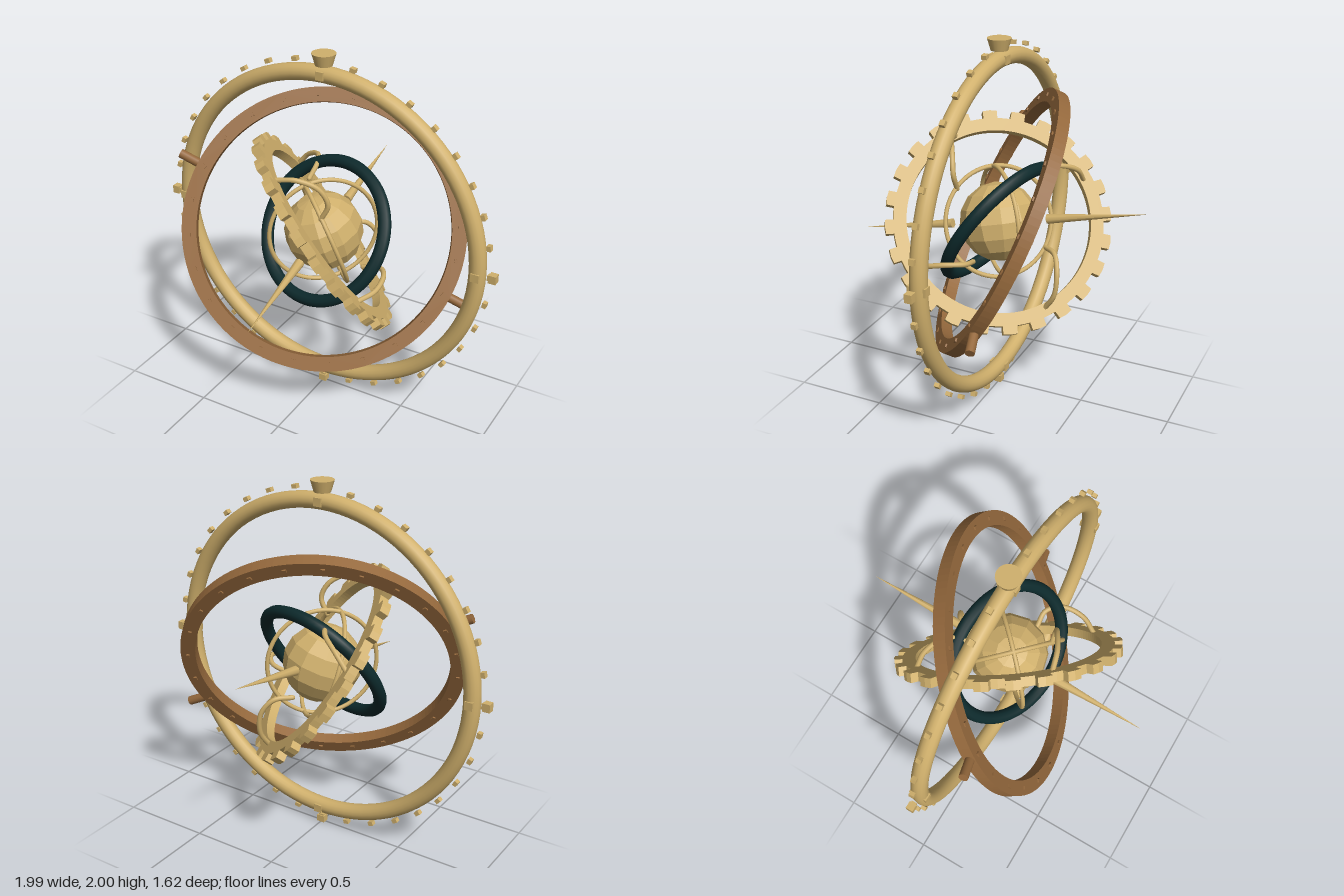
import * as THREE from 'three';

const V = (x, y, z) => new THREE.Vector3(x, y, z);
const material = (name, color, flatShading = false) => {
  const m = new THREE.MeshStandardMaterial({ color, flatShading });
  m.name = name;
  return m;
};

export function createModel() {
  const gold = material('gold', 0xd0b06c);
  const goldFlat = gold;
  const bronze = material('bronze', 0x94683c);
  const teal = material('darkTeal', 0x0d2a2c);

  const model = new THREE.Group();
  model.name = 'armillarySphere';
  const core = new THREE.Group();
  core.name = 'rings';
  core.position.y = 1;
  model.add(core);

  const add = (parent, name, geometry, mat) => {
    const mesh = new THREE.Mesh(geometry, mat);
    mesh.name = name;
    parent.add(mesh);
    return mesh;
  };
  // Group whose local z is the ring axis and local x lies near xDir
  const tilted = (name, normal, xDir = V(1, 0, 0)) => {
    const g = new THREE.Group();
    g.name = name;
    const z = normal.clone().normalize();
    const x = xDir.clone().addScaledVector(z, -xDir.dot(z)).normalize();
    g.quaternion.setFromRotationMatrix(new THREE.Matrix4().makeBasis(x, z.clone().cross(x), z));
    core.add(g);
    return g;
  };
  // Boxes spread evenly around a ring in the local xy plane
  const studs = (parent, name, count, radius, z, size, mat) => {
    for (let i = 0; i < count; i++) {
      const a = (i / count) * Math.PI * 2;
      const s = add(parent, name, new THREE.BoxGeometry(...size), mat);
      s.position.set(Math.cos(a) * radius, Math.sin(a) * radius, z);
      s.rotation.z = a;
    }
  };
  const extrudeRing = (shape, inner, depth) => {
    shape.holes.push(new THREE.Path().absarc(0, 0, inner, 0, Math.PI * 2, true));
    return new THREE.ExtrudeGeometry(shape, { depth, bevelEnabled: false, curveSegments: 64 })
      .translate(0, 0, -depth / 2);
  };

  // Outer standing ring with studs and top finial
  const outer = tilted('outerRing', V(0, 0, 1));
  add(outer, 'outerBand', new THREE.TorusGeometry(0.89, 0.045, 16, 96), gold);
  studs(outer, 'rimStud', 36, 0.957, 0, [0.022, 0.03, 0.028], gold);
  studs(outer, 'cardinalStud', 4, 0.975, 0, [0.04, 0.045, 0.04], gold);
  for (const z of [-0.038, 0.038]) studs(outer, 'faceStud', 4, 0.893, z, [0.045, 0.045, 0.025], gold);
  add(outer, 'finial', new THREE.CylinderGeometry(0.063, 0.045, 0.062, 20), gold).position.y = 0.969;

  // Bronze ring with square section, rivets and two axle pins
  const mid = tilted('bronzeRing', V(0.41, 0.43, 0.805), V(0.88, -0.41, -0.24));
  const disc = new THREE.Shape().absarc(0, 0, 0.765, 0, Math.PI * 2, false);
  add(mid, 'bronzeBand', extrudeRing(disc, 0.685, 0.065), bronze);
  for (const z of [-0.034, 0.034]) studs(mid, 'rivet', 24, 0.725, z, [0.018, 0.022, 0.014], bronze);
  for (const side of [-1, 1]) {
    const pin = add(mid, 'axlePin', new THREE.CylinderGeometry(0.025, 0.025, 0.13, 16), bronze);
    pin.rotation.z = Math.PI / 2;
    pin.position.x = side * 0.81;
  }

  // Dark ring
  const dark = tilted('darkRing', V(-0.17, 0.52, 0.84));
  add(dark, 'darkBand', new THREE.TorusGeometry(0.382, 0.035, 10, 72), teal);

  // Toothed ring
  const gearNormal = V(0.66, 0.57, -0.48).normalize();
  const gear = tilted('gearRing', gearNormal, V(-0.1, 0.41, 0.31));
  const teeth = 24;
  const outline = new THREE.Shape();
  for (let i = 0; i < teeth; i++) {
    [[0, 0.57], [0.24, 0.57], [0.26, 0.612], [0.5, 0.615], [0.74, 0.612], [0.76, 0.57]].forEach(([t, r], k) => {
      const a = ((i + t) / teeth) * Math.PI * 2;
      const move = i === 0 && k === 0 ? 'moveTo' : 'lineTo';
      outline[move](Math.cos(a) * r, Math.sin(a) * r);
    });
  }
  outline.closePath();
  add(gear, 'gearBand', extrudeRing(outline, 0.5, 0.05), goldFlat);

  // Four curled arms reaching inward from the gear
  const armCurve = new THREE.CatmullRomCurve3([
    V(-0.1, 0.41, 0.31), V(0, 0.42, 0.28), V(0.1, 0.37, 0.225), V(0.14, 0.28, 0.2), V(0.1, 0.19, 0.2),
  ]);
  for (let i = 0; i < 4; i++) {
    const arm = new THREE.Group();
    arm.name = 'curledArm';
    arm.quaternion.setFromAxisAngle(gearNormal, (i * Math.PI) / 2);
    add(arm, 'armTube', new THREE.TubeGeometry(armCurve, 24, 0.014, 8), gold);
    for (const t of [0, 1]) {
      add(arm, 'armEnd', new THREE.SphereGeometry(0.014, 8, 6), gold).position.copy(armCurve.getPoint(t));
    }
    core.add(arm);
  }

  // Two thin crossed hoops around the globe
  for (const n of [V(0.7, 0, 0.7), V(0.66, 0.336, -0.66)]) {
    add(tilted('hoop', n), 'hoopBand', new THREE.TorusGeometry(0.3, 0.012, 8, 64), gold);
  }

  // Faceted globe
  const globe = add(core, 'globe', new THREE.SphereGeometry(0.215, 12, 8).toNonIndexed(), goldFlat);
  globe.geometry.computeVertexNormals();
  globe.quaternion.setFromUnitVectors(V(0, 1, 0), V(-0.24, 0.94, 0.24).normalize());

  // Long needle spikes, front and back
  const needle = V(0.04, -0.17, 0.81).normalize();
  for (const side of [-1, 1]) {
    const dir = needle.clone().multiplyScalar(side);
    const spike = add(core, 'spike', new THREE.ConeGeometry(0.027, 0.55, 8), gold);
    spike.quaternion.setFromUnitVectors(V(0, 1, 0), dir);
    spike.position.copy(dir).multiplyScalar(0.555);
  }
  return model;
}
